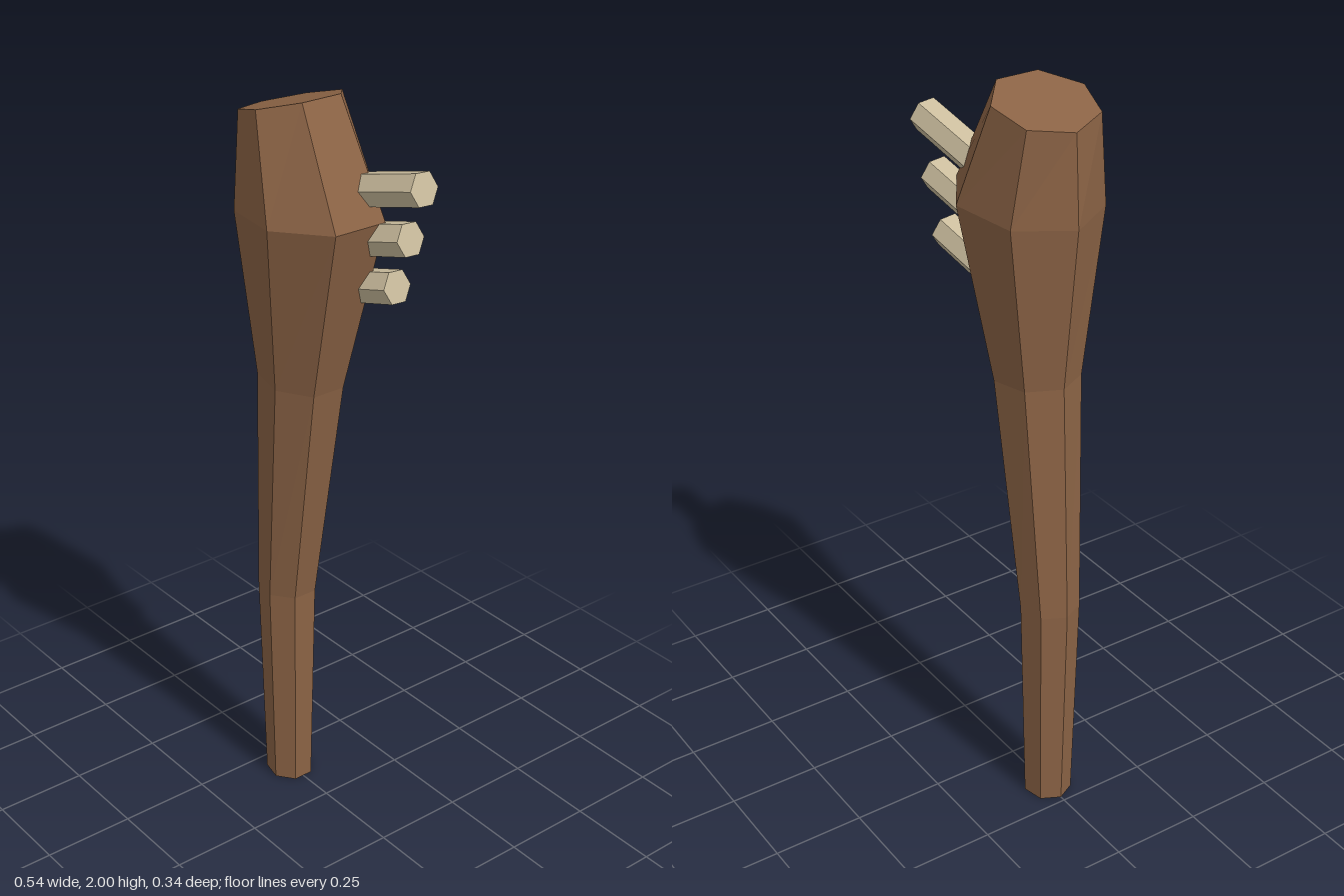
import * as THREE from 'three';

export function createModel() {
  const group = new THREE.Group();
  const wood = new THREE.MeshStandardMaterial({ color: 0x8b6345 });
  wood.name = 'brown wood';
  const bone = new THREE.MeshStandardMaterial({ color: 0xcdbf9f });
  bone.name = 'pale bone';

  // Flat facets
  const faceted = (geometry) => {
    const g = geometry.toNonIndexed();
    g.computeVertexNormals();
    return g;
  };

  // Club body: seven-sided rings [centre x, y, radius x, radius z, tilt in y per x]
  const rings = [
    [-0.167, 0, 0.068, 0.064, 0],
    [-0.167, 0.61, 0.083, 0.078, 0],
    [-0.1, 1.258, 0.121, 0.108, -0.07],
    [-0.059, 1.711, 0.21, 0.173, 0.045],
    [-0.13, 1.969, 0.125, 0.133, 0.275],
  ];
  const body = new THREE.CylinderGeometry(1, 1, 1, 7, 4, false, -Math.PI / 2);
  const pos = body.attributes.position;
  for (let i = 0; i < pos.count; i++) {
    const [cx, cy, rx, rz, tilt] = rings[Math.round((pos.getY(i) + 0.5) * 4)];
    const dx = pos.getX(i) * rx;
    pos.setXYZ(i, cx + dx, cy + dx * tilt, pos.getZ(i) * rz);
  }
  const club = new THREE.Mesh(faceted(body), wood);
  club.name = 'clubBody';
  group.add(club);

  // Three six-sided spikes leaning up and slightly back
  const length = 0.26;
  const direction = new THREE.Vector3(1, 0.26, -0.09).normalize();
  const spikeGeometry = faceted(new THREE.CylinderGeometry(0.045, 0.045, length, 6));
  const tips = [[0.257, 1.836], [0.213, 1.7], [0.168, 1.565]];
  tips.forEach(([x, y], i) => {
    const spike = new THREE.Mesh(spikeGeometry, bone);
    spike.name = 'spike' + (i + 1);
    spike.quaternion.setFromUnitVectors(new THREE.Vector3(0, 1, 0), direction);
    spike.position.set(x, y, -0.083).addScaledVector(direction, -length / 2);
    group.add(spike);
  });

  return group;
}
